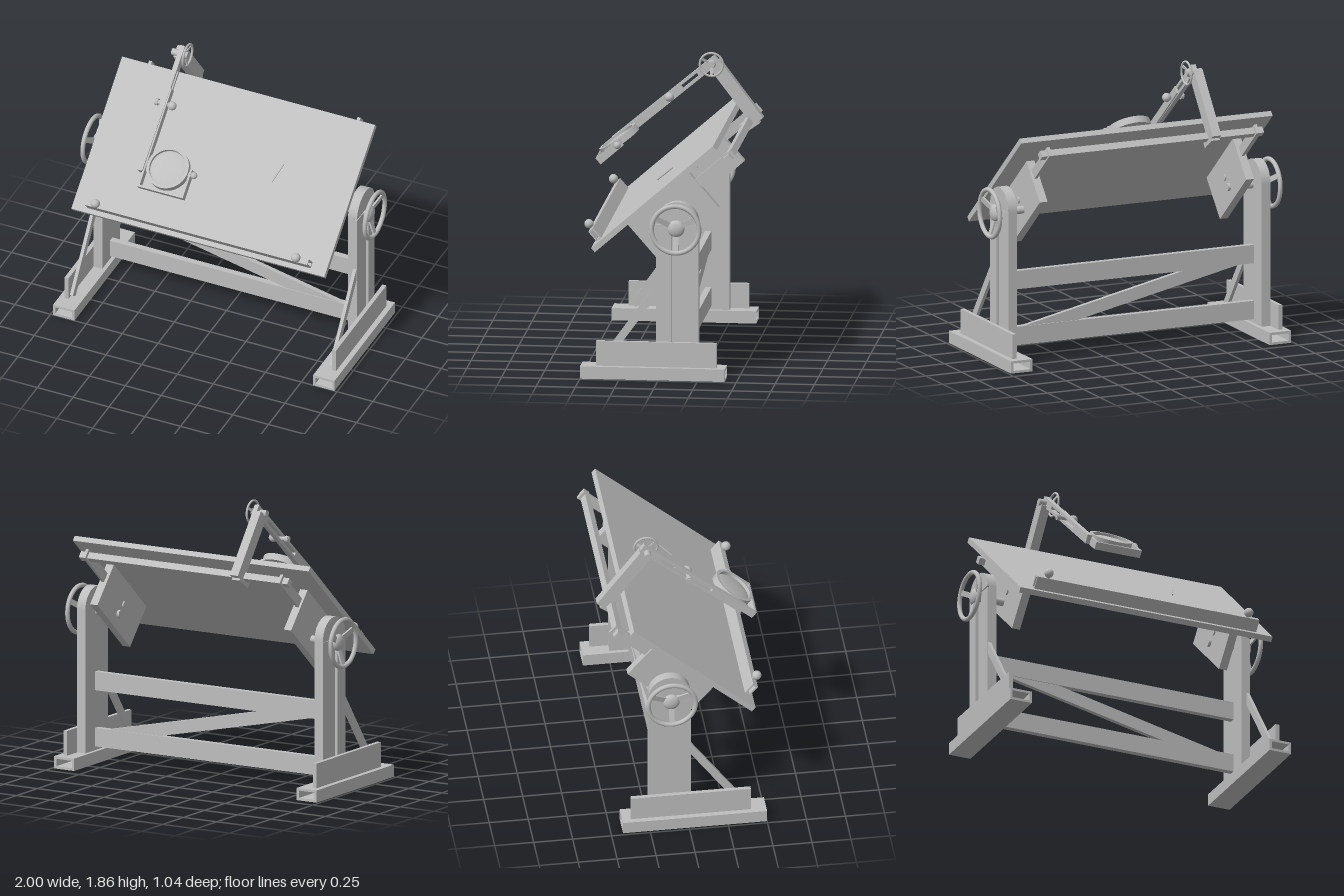
import * as THREE from 'three';

const grey = new THREE.MeshStandardMaterial({ color: 0xbebebe });
grey.name = 'paintedMetal';

function add(parent, name, geo, x = 0, y = 0, z = 0, rx = 0) {
  const m = new THREE.Mesh(geo, grey);
  m.name = name;
  m.position.set(x, y, z);
  m.rotation.x = rx;
  parent.add(m);
  return m;
}
const box = (w, h, d) => new THREE.BoxGeometry(w, h, d);
const rod = (r, len, seg = 20) => new THREE.CylinderGeometry(r, r, len, seg).rotateZ(Math.PI / 2); // along x

function rect(w, h, Type = THREE.Shape) {
  const a = w / 2, b = h / 2;
  return new Type([[-a, -b], [a, -b], [a, b], [-a, b]].map(p => new THREE.Vector2(...p)));
}
// Hollow rectangular tube along z
function tube(w, h, d, t) {
  const s = rect(w, h);
  s.holes.push(rect(w - 2 * t, h - 2 * t, THREE.Path));
  return new THREE.ExtrudeGeometry(s, { depth: d, bevelEnabled: false }).translate(0, 0, -d / 2);
}
// Straight bar between two [z, y] points
function beam(parent, name, x, w, h, a, b, geo) {
  const dz = b[0] - a[0], dy = b[1] - a[1];
  return add(parent, name, geo || box(w, h, Math.hypot(dz, dy)),
    x, (a[1] + b[1]) / 2, (a[0] + b[0]) / 2, Math.atan2(-dy, dz));
}
// Extrude a (z, y) outline across x from x0 to x1
function sideExtrude(shape, x0, x1) {
  return new THREE.ExtrudeGeometry(shape, { depth: x1 - x0, bevelEnabled: false, curveSegments: 20 })
    .rotateY(-Math.PI / 2).translate(x1, 0, 0);
}
// Dished three-spoke handwheel, rim towards +/-x
function wheel(parent, name, k, side, x, y, z) {
  const g = new THREE.Group();
  g.name = name;
  add(g, 'wheelRim', new THREE.TorusGeometry(0.152, 0.015, 10, 40), 0, 0, 0.035);
  const hub = add(g, 'wheelHub', new THREE.SphereGeometry(0.055, 24, 14));
  hub.scale.z = 0.5;
  for (let i = 0; i < 3; i++) {
    const arm = new THREE.Group();
    arm.rotation.z = Math.PI / 6 + i * Math.PI * 2 / 3;
    const s = add(arm, 'wheelSpoke', box(0.125, 0.035, 0.012), 0.09, 0, 0.017);
    s.rotation.y = -0.3;
    g.add(arm);
  }
  g.rotation.y = side * Math.PI / 2;
  g.scale.setScalar(k);
  g.position.set(x, y, z);
  parent.add(g);
}

function buildSide(root, s) {
  const g = new THREE.Group();
  g.name = s > 0 ? 'leftStand' : 'rightStand';
  root.add(g);
  // Foot tube, upright kick board and diagonal brace
  add(g, 'foot', tube(0.15, 0.08, 0.925, 0.016), s * 0.908, 0.04, 0.038);
  add(g, 'footBoard', box(0.028, 0.16, 0.77), s * 0.934, 0.16, 0.016);
  beam(g, 'brace', s * 0.905, 0.022, 0.05, [0.37, 0.09], [0.0, 0.6]);
  // Post: inner plate with rounded top, two outer ribs, rounded cap
  const post = new THREE.Shape();
  post.moveTo(-0.25, 0.08);
  post.lineTo(0.02, 0.08);
  post.lineTo(0.02, 1.01);
  post.absarc(-0.115, 1.01, 0.135, 0, Math.PI, false);
  post.lineTo(-0.25, 0.08);
  add(g, 'post', sideExtrude(post, s > 0 ? 0.858 : -0.903, s > 0 ? 0.903 : -0.858));
  for (const z of [-0.0275, -0.2025]) add(g, 'postRib', box(0.02, 0.92, 0.095), s * 0.911, 0.54, z);
  const cap = new THREE.Shape();
  cap.moveTo(0.02, 1.0);
  cap.absarc(-0.115, 1.01, 0.135, 0, Math.PI, false);
  cap.lineTo(-0.25, 1.0);
  add(g, 'postCap', sideExtrude(cap, s > 0 ? 0.901 : -0.921, s > 0 ? 0.921 : -0.901));
  // Pivot axle and handwheel
  add(g, 'axle', rod(0.025, 0.27), s * 0.815, 0.98, -0.11);
  wheel(g, 'handwheel', 1, s, s * 0.95, 0.98, -0.11);
}

function buildBoard(root) {
  // Local axes: y = board normal, z = down the slope
  const g = new THREE.Group();
  g.name = 'tiltingBoard';
  g.position.set(0, 1.154, 0.039);
  g.rotation.x = 0.717;
  root.add(g);
  add(g, 'drawingBoard', box(1.766, 0.036, 1.033));
  // Pencil ledge with knobs
  add(g, 'ledge', tube(0.04, 0.082, 1.555, 0.009).rotateY(Math.PI / 2), 0, 0.059, 0.465);
  add(g, 'pencil', new THREE.CylinderGeometry(0.005, 0.005, 0.14, 8).rotateX(Math.PI / 2), 0.37, 0.037, -0.05)
    .rotation.y = -0.28;
  // Rear rail
  add(g, 'rearRail', box(1.56, 0.045, 0.045), 0, -0.116, -0.513);
  for (const s of [-1, 1]) {
    add(g, 'ledgeKnobStem', new THREE.CylinderGeometry(0.014, 0.014, 0.04, 14), s * 0.7, 0.11, 0.463);
    add(g, 'ledgeKnob', new THREE.SphereGeometry(0.03, 20, 14), s * 0.7, 0.13, 0.463);
    add(g, 'pivotPlate', box(0.055, 0.302, 0.52), s * 0.725, -0.168, 0.005);
    add(g, 'plateBolt', rod(0.022, 0.075), s * 0.725, -0.15, 0.02);
    add(g, 'railBracket', box(0.02, 0.065, 0.36), s * 0.728, -0.116, -0.375);
  }
}

function buildLamp(root) {
  const g = new THREE.Group();
  g.name = 'magnifierArm';
  root.add(g);
  // Rear arm rising from the rail
  beam(g, 'rearArm', -0.42, 0.06, 0.085, [-0.483, 1.404], [-0.205, 1.773]);
  beam(g, 'armClamp', -0.42, 0.06, 0.06, [-0.48, 1.42], [-0.38, 1.35]);
  // Slotted front arm
  const a = [-0.225, 1.808], b = [0.43, 1.262];
  const len = Math.hypot(b[0] - a[0], b[1] - a[1]);
  const bar = rect(len, 0.06);
  const hole = rect(len * 0.5, 0.022, THREE.Path);
  hole.curves.forEach(c => { c.v1.x -= len * 0.06; c.v2.x -= len * 0.06; });
  bar.holes.push(hole);
  beam(g, 'slottedArm', -0.4, 0, 0, a, b, sideExtrude(bar, -0.016, 0.016));
  add(g, 'elbowBolt', rod(0.022, 0.11), -0.41, 1.775, -0.19);
  wheel(g, 'elbowWheel', 0.49, 1, -0.376, 1.775, -0.19);
  // Sliding arm and its clamping knob
  beam(g, 'slidingArm', -0.381, 0.014, 0.05, [0.0, 1.625], [0.497, 1.195]);
  add(g, 'slideBolt', rod(0.014, 0.12), -0.405, 1.56, 0.076);
  add(g, 'slideCap', rod(0.022, 0.02), -0.45, 1.56, 0.076);
  add(g, 'slideKnob', new THREE.SphereGeometry(0.029, 20, 14), -0.345, 1.56, 0.076);
  // U-shaped yoke
  add(g, 'yokeCross', box(0.318, 0.05, 0.014), -0.229, 1.195, 0.497, 0.713);
  beam(g, 'yokeArm', -0.077, 0.014, 0.05, [0.355, 1.318], [0.497, 1.195]);
  add(g, 'yokePin', rod(0.011, 0.05), -0.085, 1.3, 0.385);
  add(g, 'yokePin', rod(0.011, 0.05), -0.375, 1.3, 0.385);
  add(g, 'yokeKnob', new THREE.SphereGeometry(0.023, 18, 12), -0.056, 1.3, 0.378);
  // Tilted lens with rim
  const lens = new THREE.Group();
  lens.name = 'magnifier';
  lens.position.set(-0.23, 1.305, 0.385);
  lens.rotation.x = 0.63;
  g.add(lens);
  const ring = new THREE.Shape().absarc(0, 0, 0.14, 0, Math.PI * 2, false);
  ring.holes.push(new THREE.Path().absarc(0, 0, 0.12, 0, Math.PI * 2, true));
  add(lens, 'lensRim', new THREE.ExtrudeGeometry(ring, { depth: 0.045, bevelEnabled: false, curveSegments: 28 })
    .rotateX(-Math.PI / 2), 0, -0.022, 0);
  const glass = add(lens, 'lensGlass', new THREE.SphereGeometry(0.121, 32, 16));
  glass.scale.y = 0.13;
}

export function createModel() {
  const root = new THREE.Group();
  root.name = 'draftingTable';
  buildSide(root, 1);
  buildSide(root, -1);
  // Cross rails and diagonal between the stands
  add(root, 'upperRail', box(1.73, 0.12, 0.04), 0, 0.53, -0.115);
  add(root, 'lowerRail', box(1.73, 0.12, 0.04), 0, 0.165, -0.115);
  const diag = new THREE.Shape([[-0.78, 0.475], [0.4, 0.22], [0.78, 0.22], [-0.39, 0.475]]
    .map(p => new THREE.Vector2(...p)));
  add(root, 'diagonalRail', new THREE.ExtrudeGeometry(diag, { depth: 0.03, bevelEnabled: false }), 0, 0, -0.13);
  buildBoard(root);
  buildLamp(root);
  return root;
}
